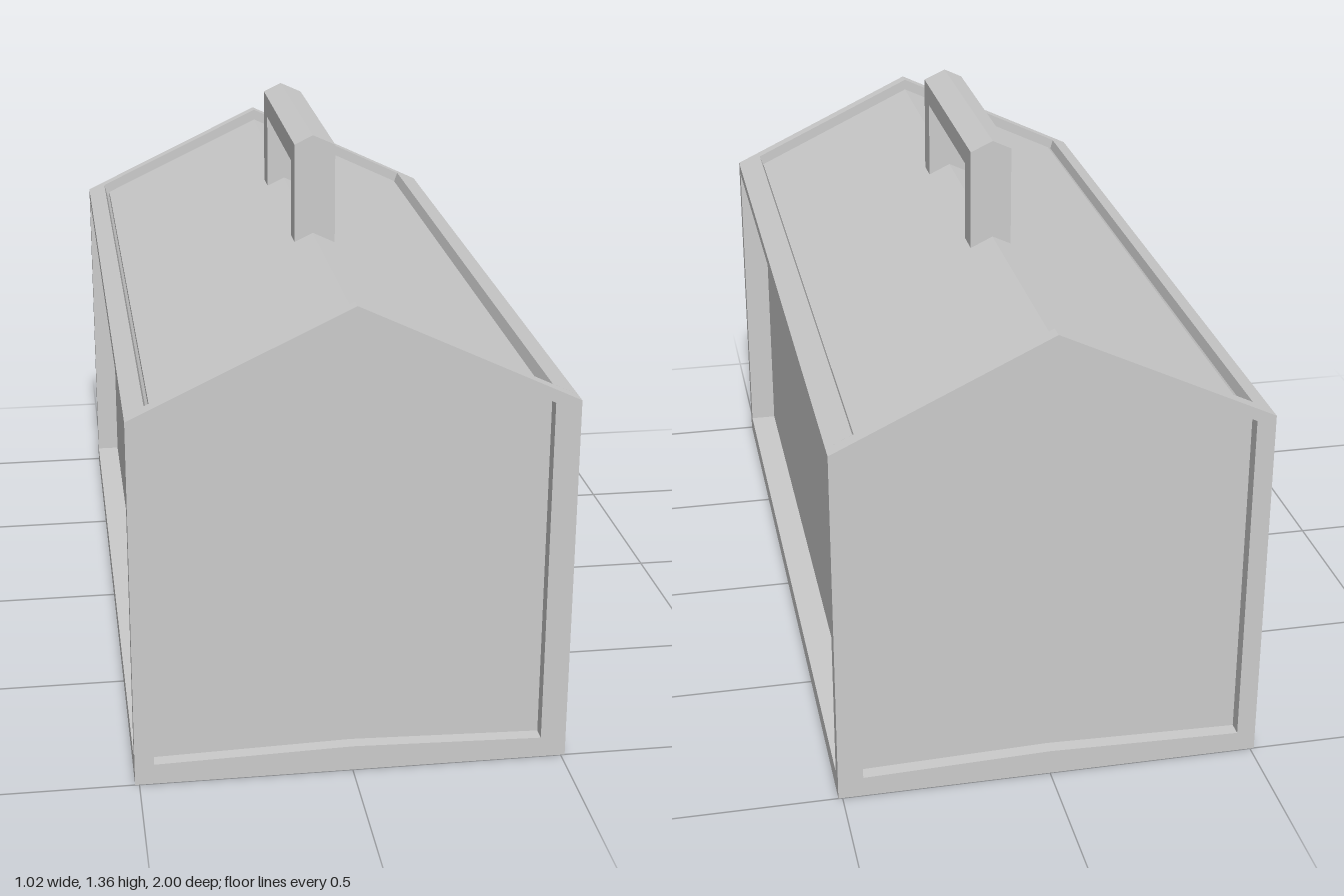
import * as THREE from 'three';

const material = new THREE.MeshStandardMaterial({ color: 0xcccccc, flatShading: true });

// Closed outline in x/y from a list of corners
const outline = (points, Type = THREE.Shape) =>
  new Type(points.map(([x, y]) => new THREE.Vector2(x, y)));

// Straight prism of an x/y section between two z positions
function prism(name, points, z0, z1, hole) {
  const shape = outline(points);
  if (hole) shape.holes.push(outline(hole, THREE.Path));
  const geometry = new THREE.ExtrudeGeometry(shape, { depth: z1 - z0, bevelEnabled: false });
  geometry.translate(0, 0, z0);
  const mesh = new THREE.Mesh(geometry, material);
  mesh.name = name;
  return mesh;
}

export function createModel() {
  const group = new THREE.Group();
  group.name = 'toolbox';
  const inner = 0.963; // inner face of the end frames

  // Recessed box with a gabled lid
  const body = [[-0.45, 0.01], [0.44, 0.01], [0.44, 0.903], [0, 1.113], [-0.45, 0.899]];
  group.add(prism('body', body, -inner, inner));

  // Gabled end frames, each closed by a recessed panel
  const gable = [[-0.51, 0], [0.51, 0], [0.51, 0.9], [0, 1.143], [-0.51, 0.9]];
  const opening = [[-0.465, 0.05], [0, 0.062], [0.45, 0.05], [0.45, 0.897], [0, 1.11], [-0.465, 0.891]];
  for (const [side, z0, z1] of [['front', inner, 1], ['back', -1, -inner]]) {
    group.add(prism(side + 'Frame', gable, z0, z1, opening));
    const p0 = side === 'front' ? inner : -inner - 0.003;
    group.add(prism(side + 'Panel', opening, p0, p0 + 0.003));
  }

  // Base slab that forms the sills below the side panels
  group.add(prism('base', [[-0.51, 0], [0.51, 0], [0.51, 0.05], [-0.51, 0.05]], -inner, inner));

  // Eave rails along both long sides
  group.add(prism('leftEave',
    [[0.43, 0.875], [0.51, 0.875], [0.51, 0.9], [0.45, 0.929], [0.44, 0.9]], -inner, inner));
  group.add(prism('rightEave',
    [[-0.51, 0.875], [-0.44, 0.875], [-0.458, 0.895], [-0.465, 0.921], [-0.51, 0.9]], -inner, inner));

  // Carrying handle: ridged grip on two posts
  const handle = new THREE.Group();
  handle.name = 'handle';
  const section = (bottom) =>
    [[-0.046, bottom], [0.055, bottom], [0.055, 1.335], [0, 1.36], [-0.046, 1.338]];
  handle.add(prism('frontPost', section(1.085), 0.25, 0.315));
  handle.add(prism('backPost', section(1.085), -0.313, -0.24));
  handle.add(prism('grip', section(1.283), -0.24, 0.25));
  group.add(handle);

  return group;
}
